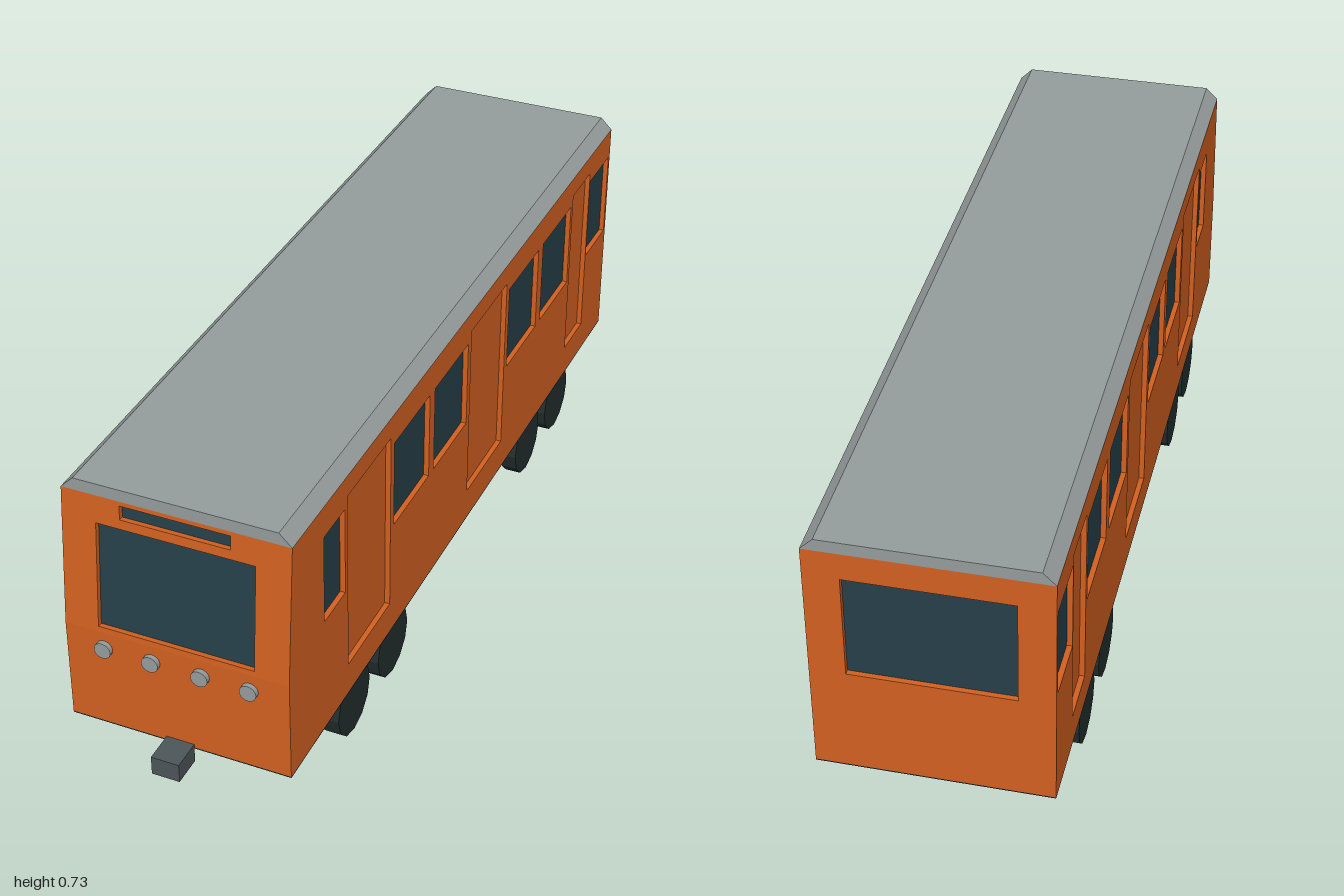
import * as THREE from 'three';

const material = (name, color) => {
  const m = new THREE.MeshStandardMaterial({ color });
  m.name = name;
  return m;
};

export function createModel() {
  const orange = material('orange paint', 0xd26020);
  const grey = material('light grey', 0x959c9c);
  const glass = material('dark glass', 0x263f49);
  const steel = material('dark steel', 0x4c5558);
  const black = material('black rubber', 0x222d2d);

  const model = new THREE.Group();
  model.name = 'railcar';

  // Main dimensions
  const HALF = 0.253, WALL = 0.012, INNER = HALF - WALL;
  const BOTTOM = 0.135, BEND = 0.375, EAVE = 0.7;
  const BACK = -1, NOSE = 0.93, NOSE_TOP = 0.903;

  const add = (name, geometry, mat, x = 0, y = 0, z = 0, parent = model) => {
    const mesh = new THREE.Mesh(geometry, mat);
    mesh.name = name;
    mesh.position.set(x, y, z);
    parent.add(mesh);
    return mesh;
  };
  // Box given by its limits on each axis
  const box = (name, mat, [x0, x1], [y0, y1], [z0, z1], parent = model) =>
    add(name, new THREE.BoxGeometry(x1 - x0, y1 - y0, z1 - z0), mat,
      (x0 + x1) / 2, (y0 + y1) / 2, (z0 + z1) / 2, parent);
  const polygon = (points) => new THREE.Shape(points.map(([x, y]) => new THREE.Vector2(x, y)));
  const rectHole = (x0, x1, y0, y1) => new THREE.Path(
    [[x0, y0], [x0, y1], [x1, y1], [x1, y0]].map(([x, y]) => new THREE.Vector2(x, y)));
  const extrude = (shape, depth) => new THREE.ExtrudeGeometry(shape, { depth, bevelEnabled: false });

  // Side openings along z
  const windows = [[0.657, 0.76], [0.206, 0.402], [-0.019, 0.177],
    [-0.475, -0.279], [-0.705, -0.507], [-0.99, -0.85]];
  const doors = [[0.421, 0.643], [-0.26, -0.038], [-0.845, -0.719]];
  const WIN_Y = [0.414, 0.626], DOOR_Y = [0.211, 0.65];

  // Side walls with recessed windows and doors
  const sideShape = polygon([[BACK, BOTTOM], [NOSE, BOTTOM], [NOSE, BEND], [NOSE_TOP, EAVE], [BACK, EAVE]]);
  windows.forEach(([a, b]) => sideShape.holes.push(rectHole(a, b, ...WIN_Y)));
  doors.forEach(([a, b]) => sideShape.holes.push(rectHole(a, b, ...DOOR_Y)));
  const sideGeometry = extrude(sideShape, WALL);
  for (const side of [1, -1]) {
    const wall = add('sideWall', sideGeometry, orange, side > 0 ? HALF : -INNER);
    wall.rotation.y = -Math.PI / 2;
    const panelX = side > 0 ? [INNER - 0.008, INNER] : [-INNER, -INNER + 0.008];
    windows.forEach((z) => box('sideWindow', glass, panelX, WIN_Y, z));
    doors.forEach((z) => box('door', orange, panelX, DOOR_Y, z));
  }

  // Front: upright lower panel and sloped windscreen panel
  box('frontLowerPanel', orange, [-INNER, INNER], [BOTTOM, BEND], [NOSE - WALL, NOSE]);
  const slope = Math.hypot(EAVE - BEND, NOSE - NOSE_TOP);
  const stretch = slope / (EAVE - BEND);
  const frontOpenings = [
    ['windscreen', 0.176, 0.388, 0.636],
    ['destinationSign', 0.122, 0.658, 0.69],
  ];
  const front = new THREE.Group();
  front.name = 'frontUpperPanel';
  front.position.set(0, BEND, NOSE);
  front.rotation.x = -Math.atan2(NOSE - NOSE_TOP, EAVE - BEND);
  model.add(front);
  const frontShape = polygon([[-INNER, 0], [INNER, 0], [INNER, slope], [-INNER, slope]]);
  for (const [name, w, y0, y1] of frontOpenings) {
    const range = [(y0 - BEND) * stretch, (y1 - BEND) * stretch];
    frontShape.holes.push(rectHole(-w, w, ...range));
    box(name, glass, [-w, w], range, [-WALL - 0.008, -WALL], front);
  }
  add('frontFace', extrude(frontShape, WALL), orange, 0, 0, -WALL, front);

  // Rear wall and window
  const rearShape = polygon([[-INNER, BOTTOM], [INNER, BOTTOM], [INNER, EAVE], [-INNER, EAVE]]);
  rearShape.holes.push(rectHole(-0.176, 0.176, 0.388, 0.636));
  add('rearWall', extrude(rearShape, WALL), orange, 0, 0, BACK);
  box('rearWindow', glass, [-0.176, 0.176], [0.388, 0.636], [BACK + WALL, BACK + WALL + 0.008]);

  // Roof with bevelled long edges
  const roofShape = polygon([[-HALF, EAVE], [HALF, EAVE], [0.225, 0.728], [-0.225, 0.728]]);
  add('roof', extrude(roofShape, NOSE_TOP - BACK), grey, 0, 0, BACK);

  // Floor, underframe and coupler
  box('floor', black, [-HALF, HALF], [0.132, BOTTOM], [BACK, NOSE]);
  box('underframe', steel, [-0.22, 0.22], [0.097, 0.133], [-0.95, 0.88]);
  box('underframeBase', black, [-0.22, 0.22], [0.095, 0.097], [-0.95, 0.88]);
  box('coupler', steel, [-0.032, 0.032], [0.098, 0.143], [NOSE, 1]);

  // Headlights
  const lampGeometry = new THREE.CylinderGeometry(0.019, 0.019, 0.012, 20).rotateX(Math.PI / 2);
  for (const x of [-0.165, -0.056, 0.056, 0.165]) {
    add('headlight', lampGeometry, grey, x, 0.335, NOSE + 0.005);
  }

  // Wheels, in two pairs per side
  const wheelMaterial = black;
  wheelMaterial.flatShading = true;
  const wheelGeometry = new THREE.CylinderGeometry(0.083, 0.083, 0.038, 12).rotateZ(Math.PI / 2);
  for (const z of [0.606, 0.394, -0.464, -0.676]) {
    for (const side of [1, -1]) add('wheel', wheelGeometry, wheelMaterial, side * 0.231, 0.083, z);
  }

  return model;
}
